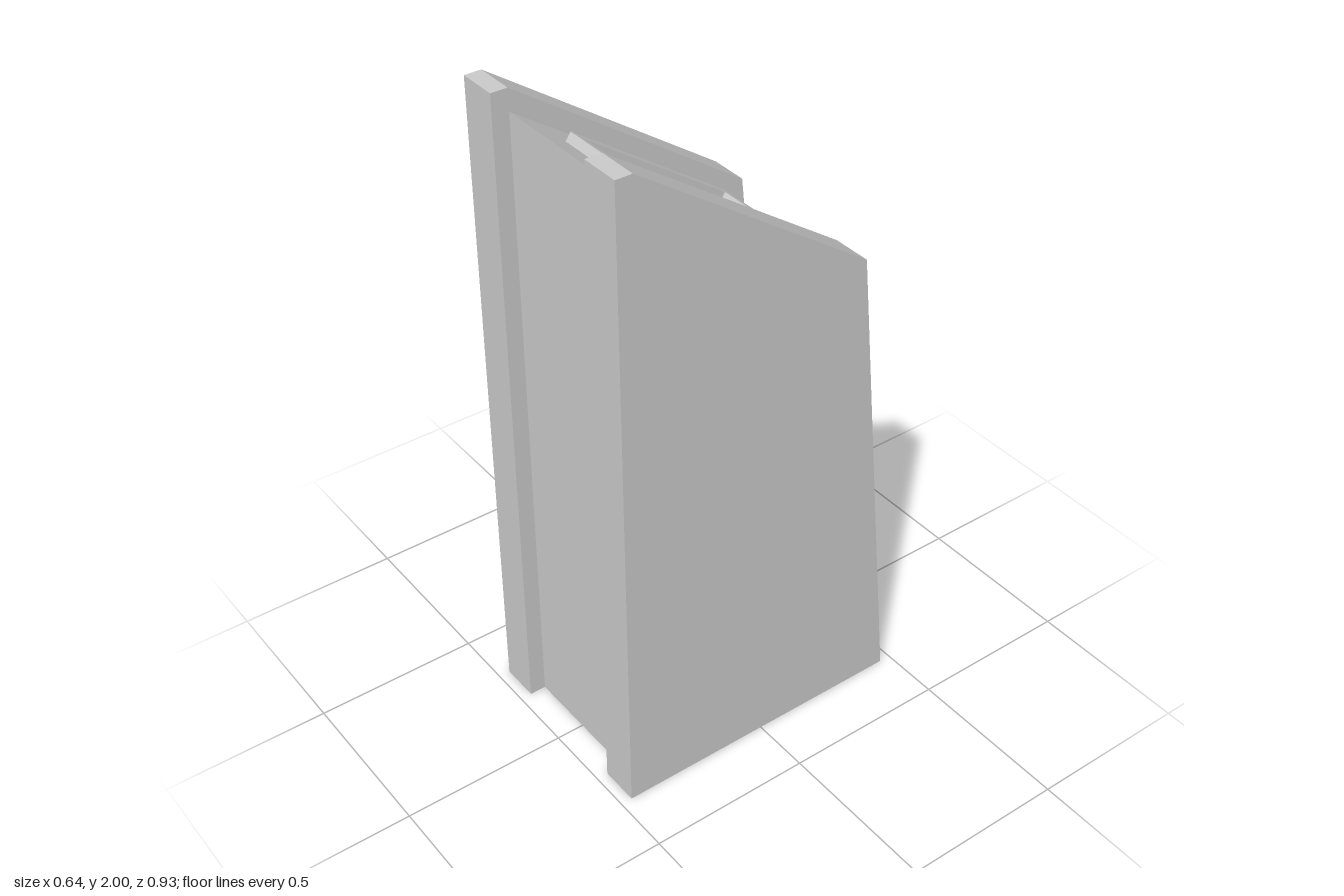
import * as THREE from 'three';

const grey = new THREE.MeshStandardMaterial({ color: 0xcccccc, flatShading: true });
const greyDouble = new THREE.MeshStandardMaterial({ color: 0xcccccc, flatShading: true, side: THREE.DoubleSide });

const SLOPE = 0.5 / 0.725;            // fall of the sloping top towards the back
const ANGLE = Math.atan(SLOPE);
const STRETCH = 1 / Math.cos(ANGLE);  // length along the slope per unit of z

function addMesh(parent, name, geometry, material = grey) {
  const mesh = new THREE.Mesh(geometry, material);
  mesh.name = name;
  parent.add(mesh);
  return mesh;
}

// Box without its top face
function openBox(w, h, d) {
  const g = new THREE.BoxGeometry(w, h, d);
  g.setIndex(Array.from(g.index.array).filter((_, i) => i < 12 || i >= 18));
  g.clearGroups();
  return g;
}

// Rectangle with a centred rectangular hole
function frameShape(w, l, holeW, holeL) {
  const corners = (a, b) => [[-a, -b], [a, -b], [a, b], [-a, b]].map(([x, y]) => new THREE.Vector2(x / 2, y / 2));
  const shape = new THREE.Shape(corners(w, l));
  shape.holes.push(new THREE.Path(corners(holeW, holeL).reverse()));
  return shape;
}

export function createModel() {
  const model = new THREE.Group();
  model.name = 'slottedBlock';

  // Side panels: profile in (z, y), extruded across x
  const profile = new THREE.Shape([[0.465, 0], [0.465, 2], [0.415, 2], [-0.31, 1.5], [-0.465, 0]]
    .map(([z, y]) => new THREE.Vector2(-z, y)));
  for (const [name, x] of [['leftPanel', 0.2], ['rightPanel', -0.32]]) {
    const g = new THREE.ExtrudeGeometry(profile, { depth: 0.12, bevelEnabled: false });
    g.rotateY(Math.PI / 2);
    addMesh(model, name, g).position.x = x;
  }

  // Core between the panels, its upper corners moved onto the slope
  const front = 0.415, back = -0.225, frontTop = 1.935;
  const depth = front - back, midZ = (front + back) / 2;
  const core = openBox(0.4, 2, depth).translate(0, 1, midZ);
  const p = core.attributes.position;
  for (let i = 0; i < p.count; i++) {
    if (p.getY(i) > 1) p.setY(i, frontTop - SLOPE * (front - p.getZ(i)));
  }
  core.computeVertexNormals();
  addMesh(model, 'core', core);

  // Sloping top with slot, raised rim and pocket
  const top = new THREE.Group();
  top.name = 'slopingTop';
  top.position.set(0, frontTop - SLOPE * depth / 2, midZ);
  top.rotation.x = -ANGLE;
  model.add(top);

  const slotW = 0.102, slotL = 0.43 * STRETCH, pocketDepth = 0.108;
  const plate = new THREE.ShapeGeometry(frameShape(0.4, depth * STRETCH, slotW, slotL));
  addMesh(top, 'topFace', plate.rotateX(-Math.PI / 2));

  const rim = new THREE.ExtrudeGeometry(frameShape(0.166, 0.473 * STRETCH, slotW, slotL),
    { depth: 0.027, bevelEnabled: false });
  addMesh(top, 'slotRim', rim.rotateX(-Math.PI / 2));

  addMesh(top, 'slotPocket', openBox(slotW, pocketDepth, slotL), greyDouble).position.y = -pocketDepth / 2;

  return model;
}
